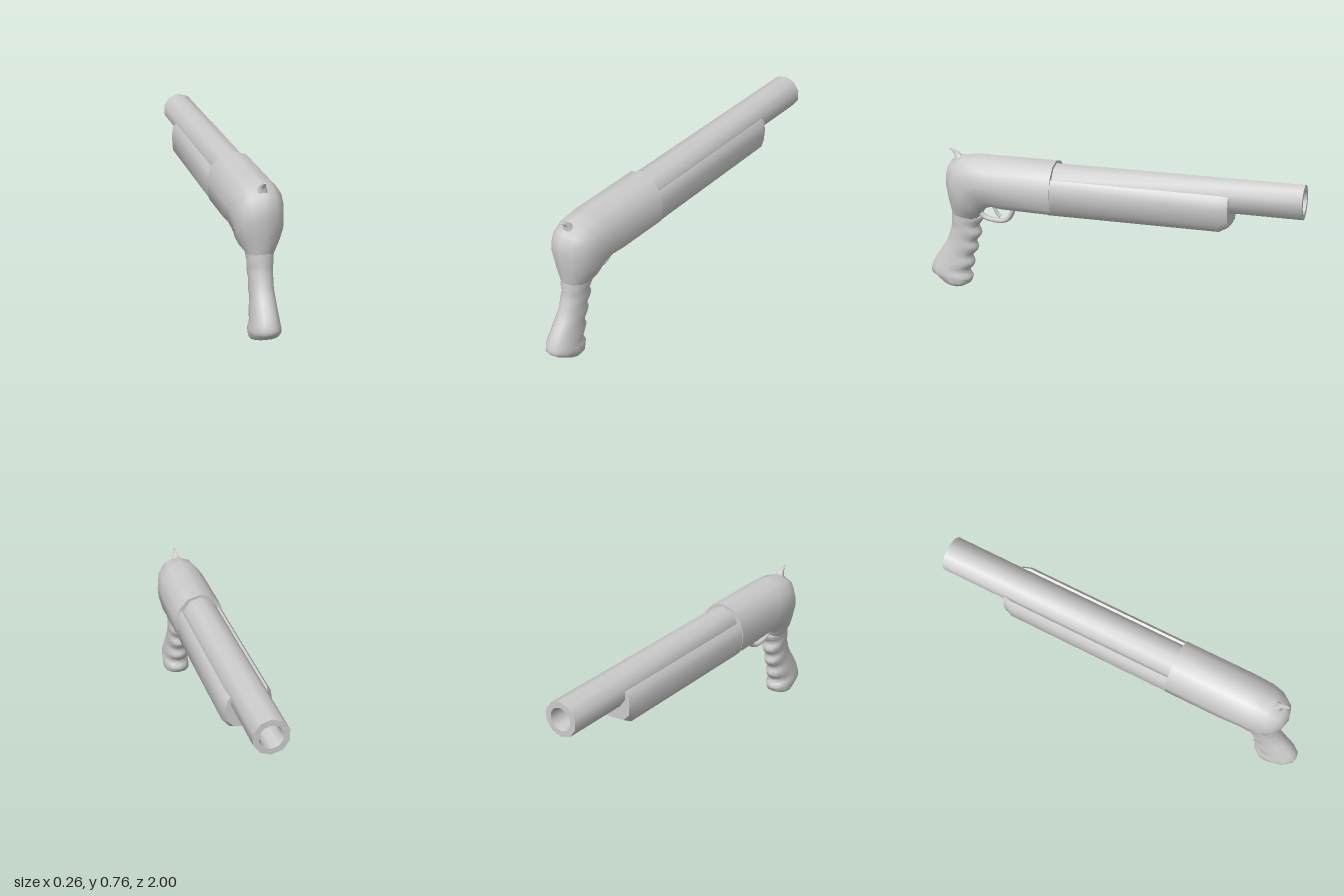
import * as THREE from 'three';
import { toCreasedNormals } from 'three/addons/utils/BufferGeometryUtils.js';

const material = new THREE.MeshStandardMaterial({ color: 0xcccccc });

// Half outlines as [position from outer to inner edge, share of half width]
const BODY = [[0, 0], [0.07, 0.5], [0.25, 0.85], [0.52, 1], [0.84, 0.92], [0.98, 0.55], [1, 0]];
const GRIP = [[0, 0], [0.03, 0.42], [0.2, 0.85], [0.5, 1], [0.78, 0.88], [0.95, 0.5], [1, 0]];
const FOREND = [[0, 0], [0, 0.64], [-0.08, 0.8], [0.05, 0.95], [0.3, 1], [0.73, 0.96], [0.96, 0.65], [1, 0]];

// Closed ring mirrored in x, running from outer edge (z, y) to inner edge (z, y)
function section([oz, oy, iz, iy, w], profile) {
  const point = ([t, s], side) => new THREE.Vector3(side * s * w, oy + (iy - oy) * t, oz + (iz - oz) * t);
  const right = profile.map(p => point(p, 1));
  const left = profile.slice(1, -1).reverse().map(p => point(p, -1));
  return [...right, ...left];
}

// Skin a list of stations and close both ends
function loft(stations, profile, crease = 0.9) {
  const rings = stations.map(s => section(s, profile));
  const n = rings[0].length;
  const last = rings.length - 1;
  const points = rings.flat();
  const index = [];
  for (let i = 0; i < last; i++) {
    for (let j = 0; j < n; j++) {
      const a = i * n + j, b = i * n + (j + 1) % n;
      index.push(a, a + n, b, b, a + n, b + n);
    }
  }
  for (const end of [0, last]) {
    const center = points.length;
    const [oz, oy, iz, iy] = stations[end];
    points.push(new THREE.Vector3(0, (oy + iy) / 2, (oz + iz) / 2));
    for (let j = 0; j < n; j++) {
      const a = end * n + j, b = end * n + (j + 1) % n;
      index.push(center, ...(end === 0 ? [a, b] : [b, a]));
    }
  }
  const geometry = new THREE.BufferGeometry().setFromPoints(points);
  geometry.setIndex(index);
  return toCreasedNormals(geometry, crease);
}

// Rounded bar following (z, y) points in the middle plane, widened in x
function bar(path, radius, widen) {
  const curve = new THREE.CatmullRomCurve3(path.map(([z, y]) => new THREE.Vector3(0, y, z)));
  const geometry = new THREE.TubeGeometry(curve, 20, radius, 8);
  geometry.scale(widen, 1, 1);
  return geometry;
}

// Grip stations: smooth taper with finger ridges along the forward edge
function gripStations() {
  const outer = new THREE.CatmullRomCurve3([
    [0.065, 0.415, 0.868], [0.057, 0.33, 0.878], [0.056, 0.25, 0.91],
    [0.066, 0.12, 0.993], [0.073, 0.075, 1], [0.071, 0.03, 0.945],
  ].map(p => new THREE.Vector3(...p)));
  const inner = new THREE.CatmullRomCurve3([
    [0, 0.395, 0.718], [0, 0.28, 0.735], [0, 0.2, 0.757],
    [0, 0.11, 0.78], [0, 0.05, 0.79], [0, 0.015, 0.79],
  ].map(p => new THREE.Vector3(...p)));
  const count = 36;
  const stations = [];
  for (let i = 0; i <= count; i++) {
    const o = outer.getPoint(i / count), p = inner.getPoint(i / count);
    const ridge = 0.011 * (1 + Math.cos((p.y - 0.3) / 0.085 * Math.PI * 2));
    stations.push([o.z, o.y, p.z - ridge, p.y, o.x]);
  }
  stations.push([0.925, 0.02, 0.815, 0, 0.062]);
  return stations;
}

export function createModel() {
  const group = new THREE.Group();
  const add = (name, geometry) => {
    const mesh = new THREE.Mesh(geometry, material);
    mesh.name = name;
    group.add(mesh);
  };

  // Ten-sided barrel with an open bore
  const barrel = new THREE.LatheGeometry([
    [0.09, -0.4], [0.09, 1], [0.06, 1], [0.053, 0.97], [0.053, 0.4], [0, 0.4],
  ].map(p => new THREE.Vector2(...p)), 10);
  barrel.rotateX(-Math.PI / 2);
  barrel.translate(0, 0.635, 0);
  add('barrel', toCreasedNormals(barrel, 0.8));

  // Fore-end cradling the barrel, chamfered at the far end
  add('foreEnd', loft([
    [-0.64, 0.64, -0.64, 0.487, 0.11],
    [-0.595, 0.645, -0.595, 0.462, 0.125],
    [0.3, 0.645, 0.3, 0.46, 0.125],
  ], FOREND));

  // Receiver bending down into the grip
  add('receiver', loft([
    [0.28, 0.74, 0.28, 0.46, 0.13],
    [0.7, 0.74, 0.56, 0.465, 0.13],
    [0.8, 0.73, 0.62, 0.472, 0.127],
    [0.865, 0.695, 0.66, 0.46, 0.121],
    [0.89, 0.65, 0.68, 0.447, 0.115],
    [0.895, 0.59, 0.695, 0.433, 0.11],
    [0.883, 0.5, 0.707, 0.415, 0.094],
    [0.868, 0.41, 0.717, 0.392, 0.066],
  ], BODY));

  add('grip', loft(gripStations(), GRIP, 1.1));

  // Curved hammer spur
  add('hammer', loft([
    [0.78, 0.7, 0.85, 0.685, 0.03],
    [0.81, 0.727, 0.845, 0.717, 0.018],
    [0.832, 0.745, 0.854, 0.736, 0.01],
    [0.872, 0.757, 0.878, 0.754, 0.005],
  ], GRIP, 1.2));

  add('triggerGuard', bar([
    [0.715, 0.42], [0.69, 0.398], [0.645, 0.386], [0.585, 0.385], [0.55, 0.405], [0.53, 0.44], [0.52, 0.485],
  ], 0.013, 1.5));
  add('trigger', bar([[0.635, 0.49], [0.632, 0.455], [0.618, 0.425], [0.596, 0.405]], 0.009, 1.2));

  return group;
}
